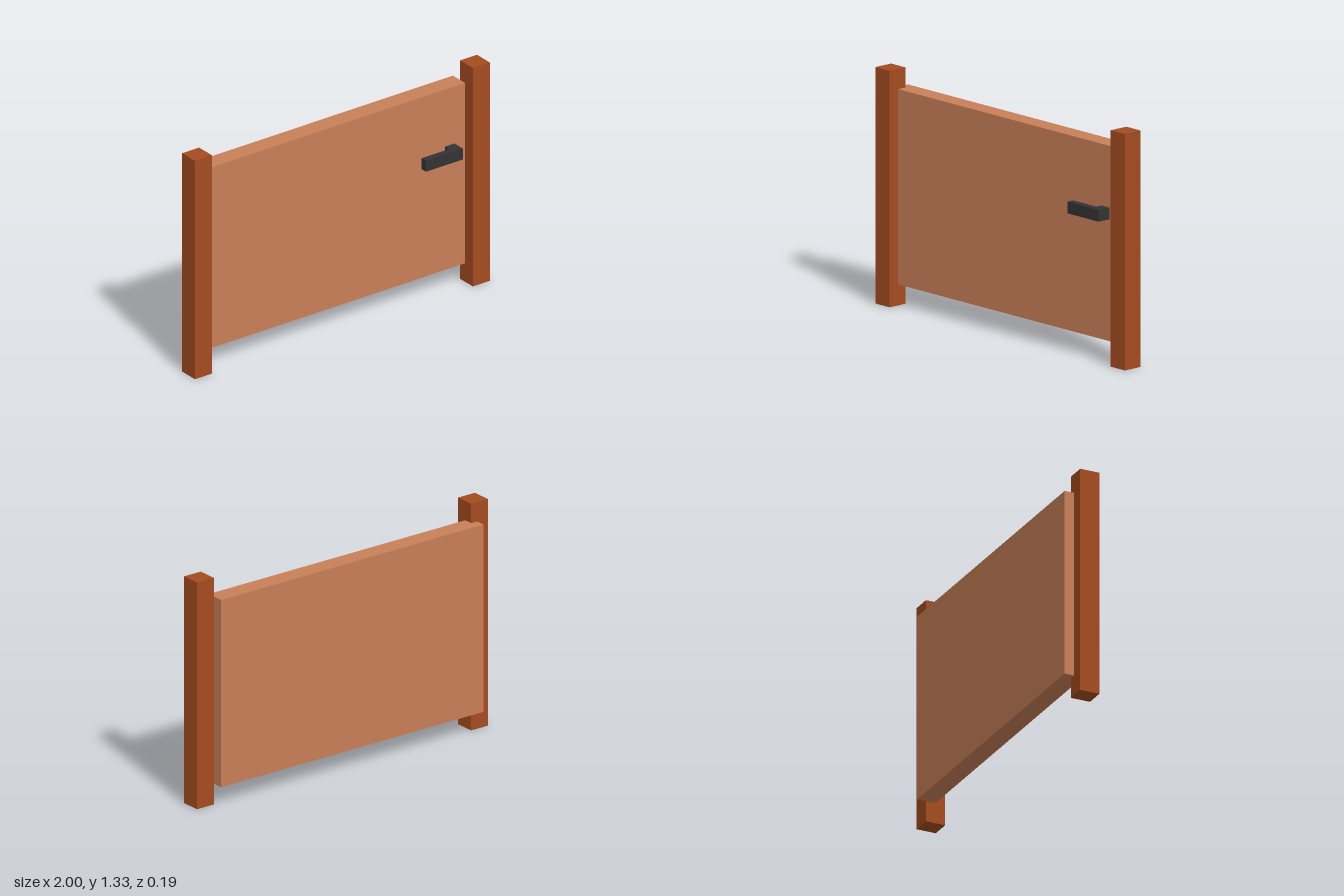
import * as THREE from 'three';

const material = (color) => new THREE.MeshStandardMaterial({ color });

// Box given by its extents along each axis
function block(name, mat, [x0, x1], [y0, y1], [z0, z1]) {
  const mesh = new THREE.Mesh(new THREE.BoxGeometry(x1 - x0, y1 - y0, z1 - z0), mat);
  mesh.position.set((x0 + x1) / 2, (y0 + y1) / 2, (z0 + z1) / 2);
  mesh.name = name;
  return mesh;
}

export function createModel() {
  const gate = new THREE.Group();
  gate.name = 'gate';
  const postWood = material(0xa54c20);
  const panelWood = material(0xc97f58);
  const iron = material(0x333333);

  // Square posts on either side
  gate.add(block('rightPost', postWood, [-1, -0.885], [0, 1.325], [-0.037, 0.079]));
  gate.add(block('leftPost', postWood, [0.885, 1], [0, 1.325], [-0.037, 0.079]));

  // Door panel, overlapping the hinge post and stopping short of the latch post
  gate.add(block('panel', panelWood, [-0.925, 0.879], [0.117, 1.212], [-0.094, 0.016]));

  // L-shaped handle on the front: stem and grip in one extruded outline
  const outline = new THREE.Shape([
    [0.742, -0.016], [0.742, -0.053], [0.556, -0.053],
    [0.556, -0.094], [0.806, -0.094], [0.806, -0.016],
  ].map(([x, y]) => new THREE.Vector2(x, y)));
  const handle = new THREE.Mesh(
    new THREE.ExtrudeGeometry(outline, { depth: 0.066, bevelEnabled: false }), iron);
  handle.rotation.x = -Math.PI / 2;
  handle.position.y = 0.8;
  handle.name = 'handle';
  gate.add(handle);

  return gate;
}
